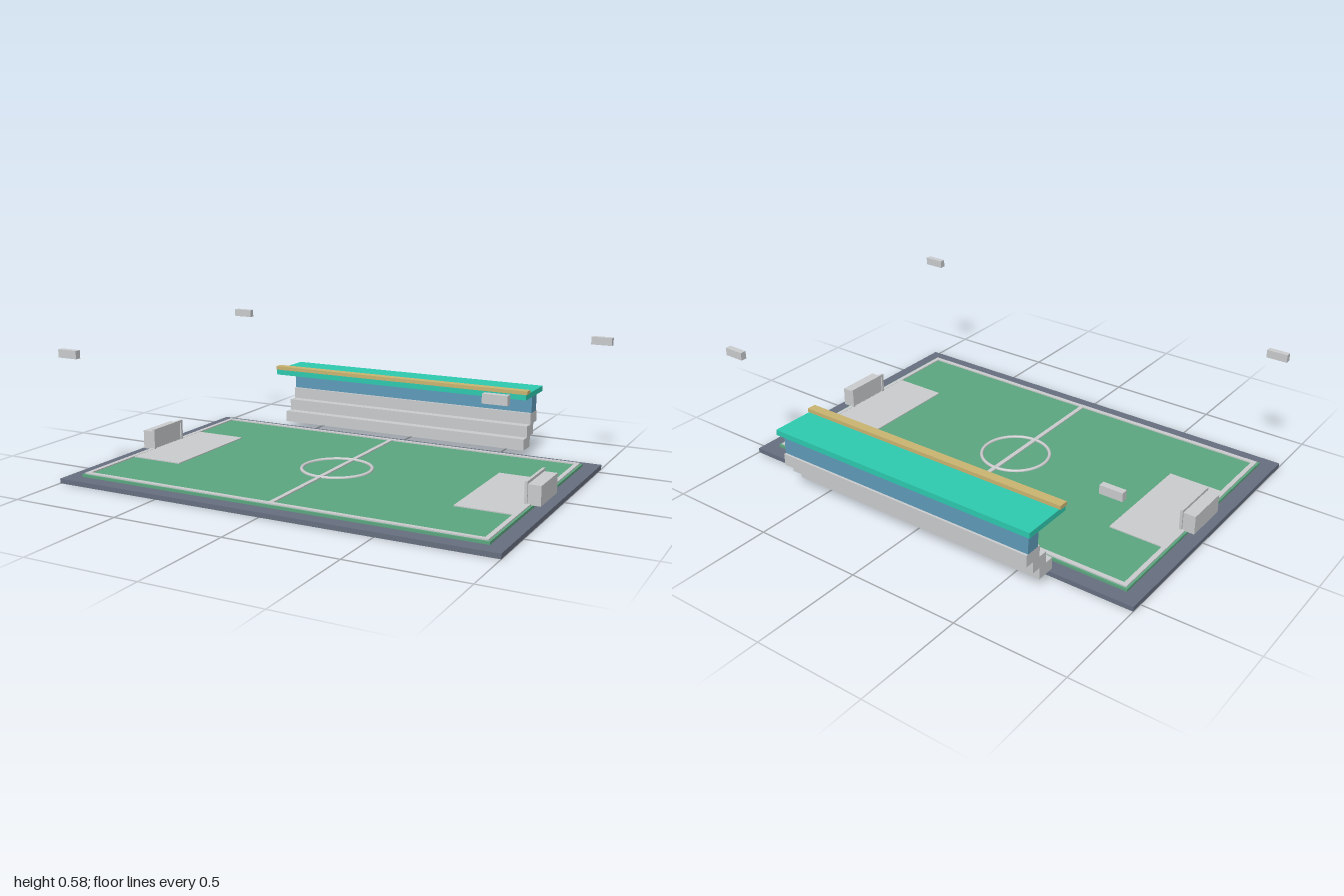
import * as THREE from 'three';

const mat = (name, color) => {
  const m = new THREE.MeshStandardMaterial({ color });
  m.name = name;
  return m;
};

export function createModel() {
  const slate = mat('slate', 0x677081);
  const green = mat('grass green', 0x5ca780);
  const white = mat('off white', 0xcaccce);
  const blue = mat('glass blue', 0x5f9bba);
  const teal = mat('roof teal', 0x2ecbb0);
  const gold = mat('trim gold', 0xcab571);

  const model = new THREE.Group();
  model.name = 'footballGround';
  const CZ = 0.093; // middle of the pitch

  // Box given by its lower and upper limits on each axis
  const box = (name, material, [x0, x1], [y0, y1], [z0, z1], parent = model) => {
    const mesh = new THREE.Mesh(new THREE.BoxGeometry(x1 - x0, y1 - y0, z1 - z0), material);
    mesh.position.set((x0 + x1) / 2, (y0 + y1) / 2, (z0 + z1) / 2);
    mesh.name = name;
    parent.add(mesh);
    return mesh;
  };
  const around = (c, half) => [c - half, c + half];

  // Ground slab and grass
  box('baseSlab', slate, [-1, 1], [0, 0.021], around(CZ, 0.646));
  box('grass', green, [-0.933, 0.933], [0.021, 0.033], around(CZ, 0.58));

  // Pitch markings
  const markings = new THREE.Group();
  markings.name = 'markings';
  model.add(markings);
  box('halfwayLine', white, [-0.01, 0.01], [0.03, 0.0385], around(CZ, 0.562), markings);
  for (const s of [-1, 1]) {
    box('sideLine', white, [-0.924, 0.924], [0.03, 0.0385], around(CZ + s * 0.562, 0.01), markings);
    box('endLine', white, around(s * 0.914, 0.01), [0.03, 0.0385], around(CZ, 0.562), markings);
    box('penaltyArea', white, around(s * 0.785, 0.127), [0.03, 0.0375], around(CZ - 0.003, 0.258), markings);
  }
  const circle = new THREE.Mesh(new THREE.TorusGeometry(0.155, 0.008, 8, 48), white);
  circle.name = 'centreCircle';
  circle.rotation.x = Math.PI / 2;
  circle.position.set(0, 0.0345, CZ - 0.004);
  markings.add(circle);

  // Goals: solid net box behind a frame of two posts and a crossbar
  for (const s of [-1, 1]) {
    const goal = new THREE.Group();
    goal.name = s > 0 ? 'leftGoal' : 'rightGoal';
    model.add(goal);
    box('net', white, around(s * 0.935, 0.03), [0.033, 0.118], around(CZ, 0.104), goal);
    for (const t of [-1, 1])
      box('post', white, around(s * 0.904, 0.006), [0.033, 0.131], around(CZ + t * 0.105, 0.006), goal);
    box('crossbar', white, around(s * 0.904, 0.006), [0.119, 0.131], around(CZ, 0.111), goal);
  }

  // Grandstand: three seating tiers, rear wall, roof and front trim
  const stand = new THREE.Group();
  stand.name = 'grandstand';
  model.add(stand);
  for (let i = 0; i < 3; i++) {
    const z = -0.596 - i * 0.0435, y = 0.04 + i * 0.053;
    box('seatingTier', white, [-0.634, 0.634], [y, y + 0.053], around(z, 0.0435), stand);
  }
  box('rearWall', blue, [-0.634, 0.634], [0.199, 0.29], [-0.716, -0.651], stand);
  box('roof', teal, [-0.655, 0.655], [0.29, 0.315], [-0.738, -0.501], stand);
  box('roofTrim', gold, [-0.66, 0.66], [0.315, 0.332], [-0.543, -0.501], stand);

  // Floodlight heads above the four corners
  for (const s of [-1, 1])
    for (const z of [-0.661, 0.698])
      box('floodlight', white, around(s * 0.948, 0.047), [0.545, 0.58], around(z, 0.0135));

  return model;
}
